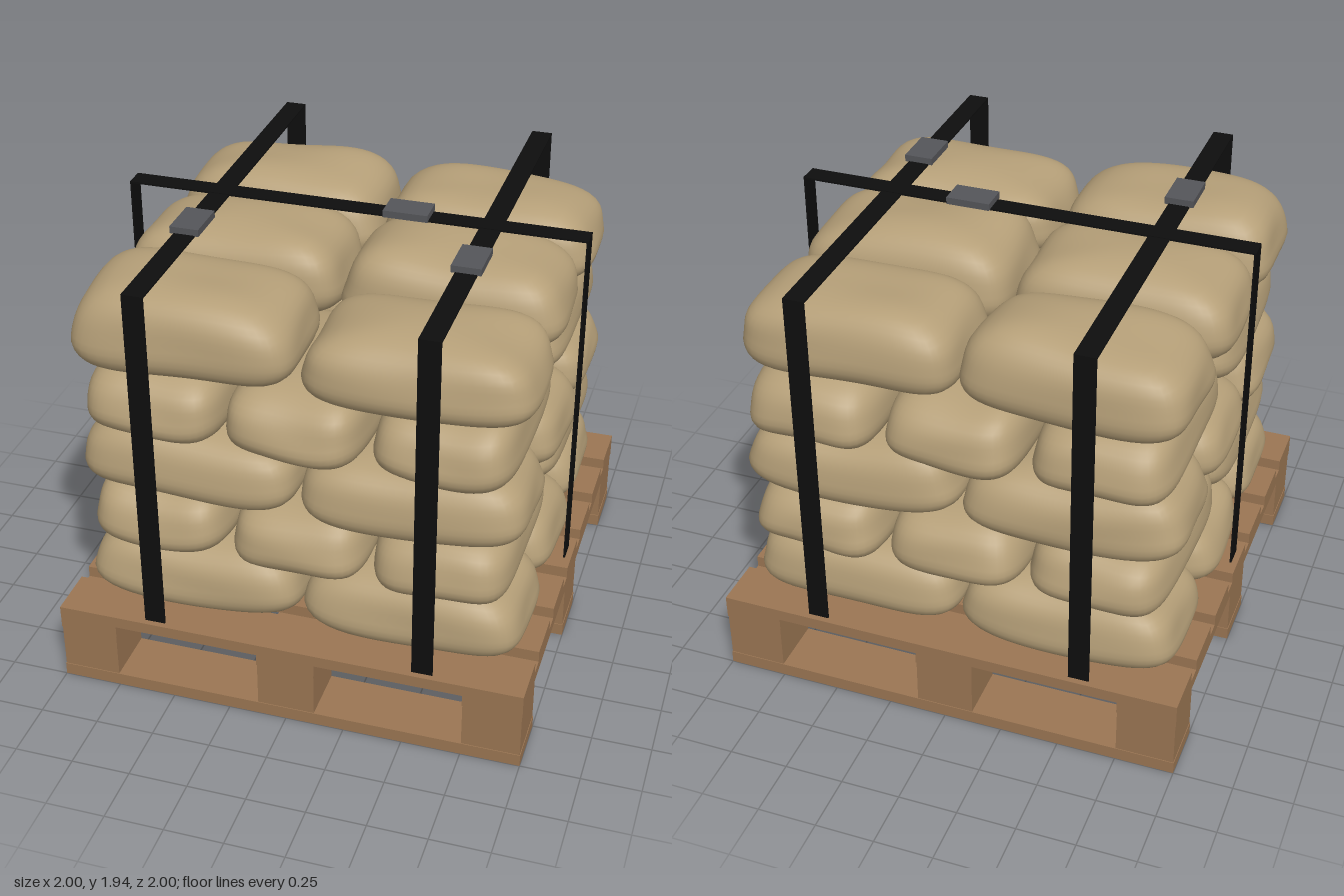
import * as THREE from 'three';
import { mergeVertices } from 'three/addons/utils/BufferGeometryUtils.js';

const material = (name, color) => {
  const m = new THREE.MeshStandardMaterial({ color });
  m.name = name;
  return m;
};

// Small seeded generator returning values in -1..1
function seeded(seed) {
  let s = seed;
  return () => {
    s = (s * 16807) % 2147483647;
    return (s / 2147483647) * 2 - 1;
  };
}

// Welded unit cube grid, shared by all sacks
function unitGrid() {
  const g = new THREE.BoxGeometry(2, 2, 2, 18, 12, 18);
  g.deleteAttribute('uv');
  g.deleteAttribute('normal');
  return mergeVertices(g, 1e-4);
}

// Stuffed sack: squashed superellipsoid, widest low down, with soft lumps
function sackGeometry(grid, hx, hy, hz, rand) {
  const g = grid.clone();
  const p = g.attributes.position;
  const ph = [0, 1, 2, 3].map(() => rand() * Math.PI);
  const slant = rand() * 0.02;
  const v = new THREE.Vector3();
  for (let i = 0; i < p.count; i++) {
    v.fromBufferAttribute(p, i);
    const ny = v.y < 0 ? 4 : 3;
    const plan = Math.pow(Math.abs(v.x) ** 5 + Math.abs(v.z) ** 5, 1 / 5);
    v.divideScalar(Math.pow(plan ** ny + Math.abs(v.y) ** ny, 1 / ny));
    const taper = 1 - 0.09 * Math.max(0, v.y + 0.35);
    const lump = 0.012 * Math.sin(3 * v.x + ph[0]) * Math.sin(2.5 * v.z + ph[1]);
    const side = 1 + 0.012 * Math.sin(4 * v.y + 3 * v.x + ph[2]) * Math.sin(3 * v.z + ph[3]);
    p.setXYZ(i,
      v.x * hx * taper * side,
      v.y * hy + lump + slant * v.x * Math.max(0, v.y),
      v.z * hz * taper * side);
  }
  g.computeVertexNormals();
  return g;
}

export function createModel() {
  const wood = material('wood', 0x9b7653);
  const burlap = material('burlap', 0xb59f78);
  const strapBlack = material('strapBlack', 0x0e0e0e);
  const buckleGrey = material('buckleGrey', 0x55565a);

  const model = new THREE.Group();
  model.name = 'palletOfSacks';
  const group = (name) => {
    const g = new THREE.Group();
    g.name = name;
    model.add(g);
    return g;
  };
  const box = (parent, name, mat, size, pos) => {
    const m = new THREE.Mesh(new THREE.BoxGeometry(...size), mat);
    m.name = name;
    m.position.set(...pos);
    parent.add(m);
    return m;
  };

  // Pallet: bottom runners, blocks, cross stringers, top deck
  const pallet = group('pallet');
  const rows = [-0.875, 0, 0.875];
  for (const a of rows) {
    box(pallet, 'bottomBoard', wood, [2, 0.055, 0.25], [0, 0.0275, a]);
    box(pallet, 'stringerBoard', wood, [0.25, 0.053, 2], [a, 0.283, 0]);
    for (const b of rows) box(pallet, 'block', wood, [0.245, 0.2, 0.245], [a, 0.156, b]);
  }
  for (let i = -3; i <= 3; i++) {
    box(pallet, 'deckBoard', wood, [2, 0.051, 0.222], [0, 0.3345, i * 0.2965]);
  }

  // Sacks: five layers, alternating 2 x 3 and 3 x 2
  const sacks = group('sacks');
  const grid = unitGrid();
  const rand = seeded(4711);
  const bases = [0.355, 0.635, 0.9, 1.18, 1.46];
  const topHeights = [[0.36, 0.36, 0.37], [0.35, 0.37, 0.32]]; // left/right, back to front
  bases.forEach((y, layer) => {
    const even = layer % 2 === 0;
    const top = layer === 4;
    for (let i = 0; i < 2; i++) {
      for (let j = 0; j < 3; j++) {
        const long = (i - 0.5) * 0.94 - 0.003;
        const short = (j - 1) * 0.6 - 0.01;
        const h = top ? topHeights[i][j] : 0.325;
        const hl = 0.468;
        const hs = 0.3 + rand() * 0.006;
        const sack = new THREE.Mesh(
          sackGeometry(grid, even ? hl : hs - 0.008, h / 2, even ? hs : hl, rand), burlap);
        sack.name = 'sack';
        sack.position.set(
          (even ? long : short + 0.01) + rand() * 0.01,
          y + h / 2,
          (even ? short : long - 0.008) + rand() * 0.015);
        sack.rotation.set(rand() * 0.015, rand() * 0.035, rand() * 0.015);
        sacks.add(sack);
      }
    }
  });

  // Straps: square hoops standing on the deck, each with a buckle on top
  const strap = (name, x, turn, buckleAt) => {
    const s = group(name);
    const t = 0.008;
    box(s, 'strapTop', strapBlack, [0.088, t, 1.95], [0, 1.901, 0]);
    for (const side of [-1, 1]) {
      box(s, 'strapSide', strapBlack, [0.088, 1.545, t], [0, 1.1325, side * 0.971]);
    }
    box(s, 'buckle', buckleGrey, [0.122, 0.03, 0.187], [0, 1.917, buckleAt]);
    s.position.x = x;
    s.rotation.y = turn;
    return s;
  };
  strap('leftStrap', 0.575, 0, 0.345);
  strap('rightStrap', -0.578, 0, 0.345);
  strap('crossStrap', 0, Math.PI / 2, 0.228).position.y = 0.004;

  return model;
}
